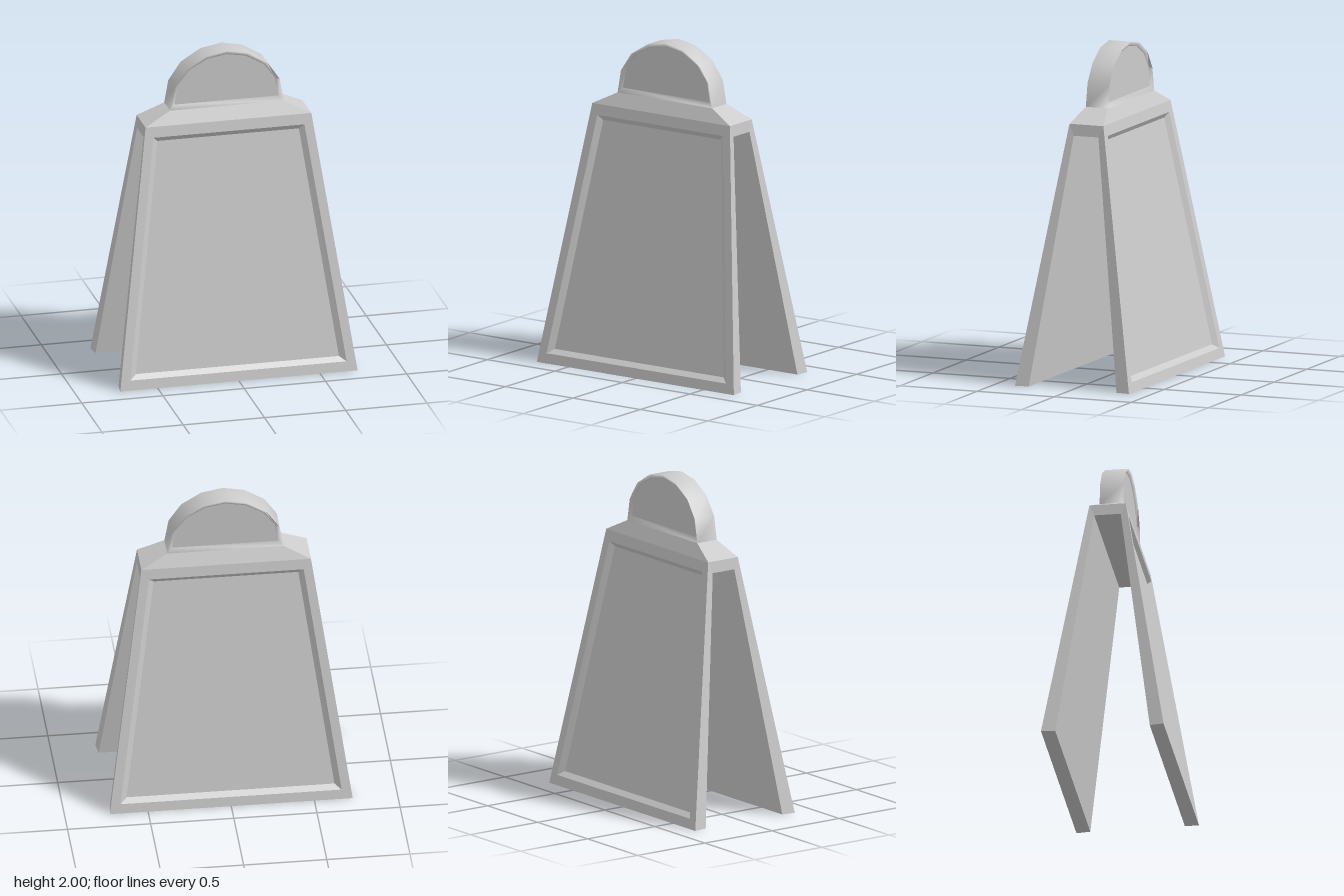
import * as THREE from 'three';

const material = new THREE.MeshStandardMaterial({ color: 0xcccccc });

// Flat-shaded mesh from quads, corners counter-clockwise seen from outside
function quadMesh(name, quads) {
  const pos = [];
  for (const [a, b, c, d] of quads) pos.push(...a, ...b, ...c, ...a, ...c, ...d);
  const geo = new THREE.BufferGeometry();
  geo.setAttribute('position', new THREE.Float32BufferAttribute(pos, 3));
  geo.computeVertexNormals();
  const mesh = new THREE.Mesh(geo, material);
  mesh.name = name;
  return mesh;
}

// The quad and its left-right mirror image
const flipX = ([x, y, z]) => [-x, y, z];
const bothSides = (quad) => [quad, quad.map(flipX).reverse()];

// Trapezoid loop lying on the sloping front, sunk by depth
const slopeZ = (y) => 0.37 - 0.1656 * y;
const trapezoid = (xBottom, yBottom, xTop, yTop, depth) =>
  [[-xBottom, yBottom], [xBottom, yBottom], [xTop, yTop], [-xTop, yTop]]
    .map(([x, y]) => [x, y, slopeZ(y) - depth]);

const band = (outer, inner) => outer.map((p, i) => {
  const j = (i + 1) % outer.length;
  return [p, outer[j], inner[j], inner[i]];
});

// One sloping board with half of the top cap
function createHalf() {
  const half = new THREE.Group();
  const edge = trapezoid(0.73, 0, 0.51, 1.57, 0);
  const lip = trapezoid(0.665, 0.06, 0.465, 1.505, 0);
  const sunk = trapezoid(0.625, 0.087, 0.435, 1.475, 0.025);
  const [, outBottom, outTop] = edge;
  const inBottom = [0.72, 0, 0.285], inTop = [0.515, 1.5, 0.08];

  half.add(quadMesh('boardFrame', [
    ...band(edge, lip),
    ...band(lip, sunk),
    ...bothSides([outBottom, inBottom, inTop, outTop]),
    [inBottom, flipX(inBottom), flipX(inTop), inTop],
    [flipX(outBottom), flipX(inBottom), inBottom, outBottom],
  ]));
  half.add(quadMesh('boardPanel', [sunk]));

  const midLow = [0.515, 1.5, 0], midHigh = [0.51, 1.57, 0];
  const ridge = [0.35, 1.65, 0.072], ridgeMid = [0.35, 1.65, 0];
  half.add(quadMesh('topCap', [
    ...bothSides([outTop, inTop, midLow, midHigh]),
    ...bothSides([outTop, midHigh, ridgeMid, ridge]),
    [flipX(outTop), outTop, ridge, flipX(ridge)],
    [flipX(inTop), flipX(midLow), midLow, inTop],
  ]));
  return half;
}

// Half-round handle with a smooth rim and shallow sunk faces
function createHandle() {
  const handle = new THREE.Group();
  handle.name = 'handle';
  const right = [[0.35, 1.65], [0.325, 1.79], [0.25, 1.9], [0.13, 1.975]];
  const outer = [...right, [0, 2], ...right.map(([x, y]) => [-x, y]).reverse()];
  const inner = outer.map(([x, y]) => [x * 0.92, 1.68 + (y - 1.65) * 0.84]);
  const n = outer.length, rimZ = 0.072, faceZ = 0.057;

  // Rows: front inner, front outer, back outer, back inner
  const rows = [[inner, faceZ], [outer, rimZ], [outer, -rimZ], [inner, -faceZ]];
  const pos = rows.flatMap(([loop, z]) => loop.flatMap(([x, y]) => [x, y, z]));
  const index = [];
  for (let r = 0; r < 3; r++) {
    for (let i = 0; i < n; i++) {
      if (r === 1 && i === n - 1) continue; // rim is open where it meets the cap
      const j = (i + 1) % n;
      const a = r * n + i, b = (r + 1) * n + i, c = (r + 1) * n + j, d = r * n + j;
      index.push(a, b, c, a, c, d);
    }
  }
  const geo = new THREE.BufferGeometry();
  geo.setAttribute('position', new THREE.Float32BufferAttribute(pos, 3));
  geo.setIndex(index);
  geo.computeVertexNormals();
  const rim = new THREE.Mesh(geo, material);
  rim.name = 'handleRim';
  handle.add(rim);

  const shape = new THREE.Shape(inner.map(([x, y]) => new THREE.Vector2(x, y)));
  for (const side of [1, -1]) {
    const face = new THREE.Mesh(new THREE.ShapeGeometry(shape), material);
    face.name = side > 0 ? 'handleFrontFace' : 'handleBackFace';
    face.position.z = side * faceZ;
    if (side < 0) face.rotation.y = Math.PI;
    handle.add(face);
  }
  return handle;
}

export function createModel() {
  const model = new THREE.Group();
  model.name = 'foldingFloorSign';
  const front = createHalf();
  front.name = 'frontBoard';
  const back = createHalf();
  back.name = 'backBoard';
  back.rotation.y = Math.PI;
  model.add(front, back, createHandle());
  return model;
}
